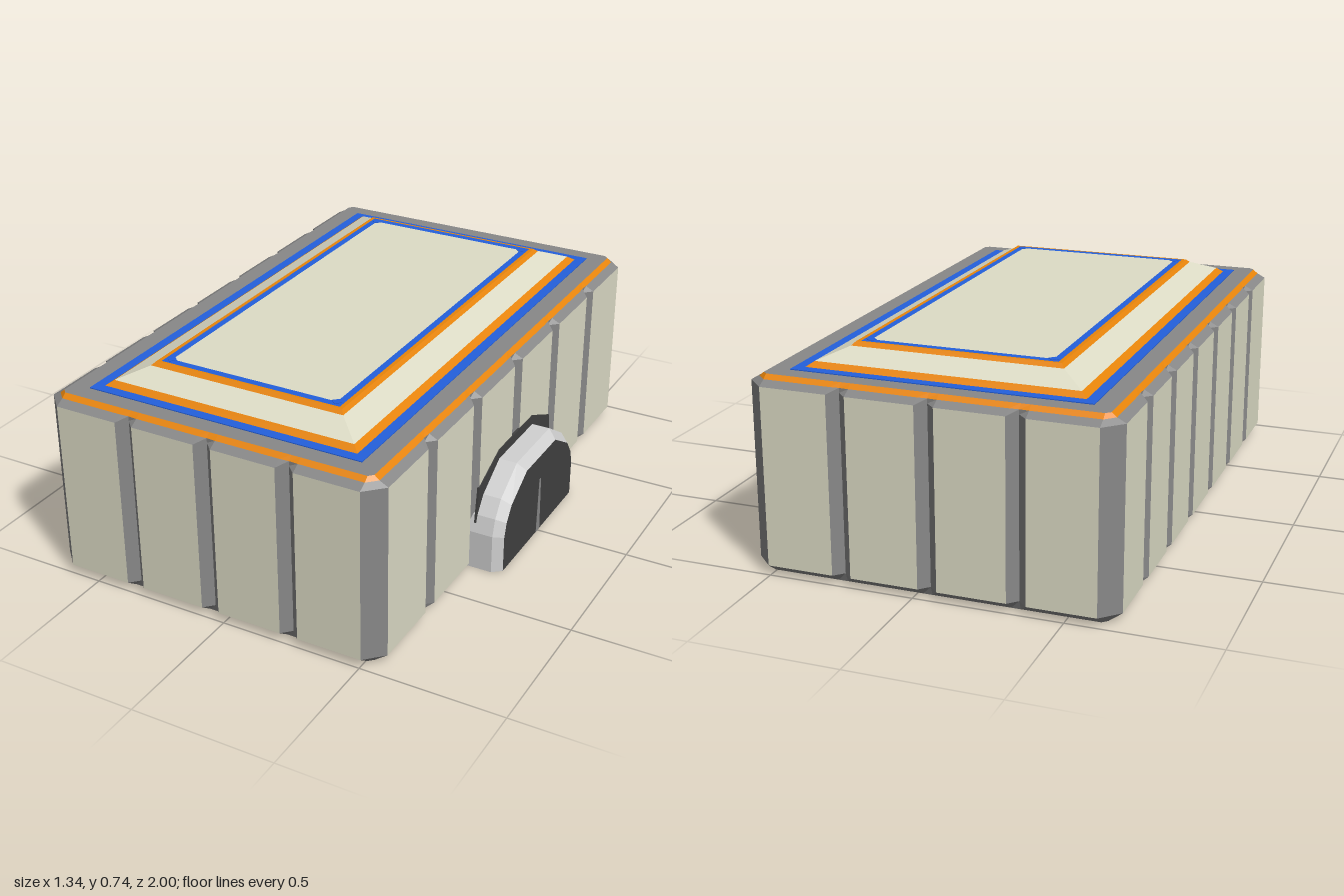
import * as THREE from 'three';

const flat = (name, color) => {
  const m = new THREE.MeshStandardMaterial({ color });
  m.name = name;
  return m;
};

// Closed band of flat quads between two loops of equal length; pick(i) chooses which segments to keep
function strip(a, b, pick = () => true) {
  const pos = [];
  for (let i = 0; i < a.length; i++) {
    if (!pick(i)) continue;
    const j = (i + 1) % a.length;
    for (const p of [a[i], a[j], b[j], a[i], b[j], b[i]]) pos.push(...p);
  }
  const g = new THREE.BufferGeometry();
  g.setAttribute('position', new THREE.Float32BufferAttribute(pos, 3));
  g.computeVertexNormals();
  return g;
}

export function createModel() {
  const model = new THREE.Group();
  const cream = flat('cream', 0xdddcc6);
  const grey = flat('grey', 0x888888);
  const dark = flat('darkGrey', 0x404040);
  const light = flat('lightGrey', 0xd0d0d0);
  const orange = flat('orange', 0xf08a0c);
  const blue = flat('blue', 0x2460dc);

  const add = (name, geometry, material, parent = model) => {
    const mesh = new THREE.Mesh(geometry, material);
    mesh.name = name;
    parent.add(mesh);
    return mesh;
  };

  // Container, centred a little to the right to leave room for the door
  const body = new THREE.Group();
  body.name = 'container';
  body.position.x = -0.05;
  model.add(body);

  const W = 0.617, L = 1, corner = 0.062, notch = 0.032;
  const outline = [], isPanel = [];
  const ends = [-0.295, 0, 0.295];
  const sides = [
    { n: [0, 1], d: [1, 0], half: W, dist: L, cuts: ends },
    { n: [1, 0], d: [0, -1], half: L, dist: W, cuts: [-0.647, -0.323, 0, 0.323, 0.647] },
    { n: [0, -1], d: [-1, 0], half: W, dist: L, cuts: ends },
    { n: [-1, 0], d: [0, 1], half: L, dist: W, cuts: [-0.69, -0.415, -0.14, 0.14, 0.415, 0.69] },
  ];
  for (const { n, d, half, dist, cuts } of sides) {
    const put = (s, depth, panel) => {
      const r = dist - depth;
      outline.push([n[0] * r + d[0] * s, n[1] * r + d[1] * s]);
      isPanel.push(panel);
    };
    put(corner - half, 0, true);
    for (const c of cuts) {
      put(c - notch, 0, false);
      put(c, notch, false);
      put(c + notch, 0, true);
    }
    put(half - corner, 0, false);
  }
  const ring = (y, inset) => outline.map(([x, z]) => [
    THREE.MathUtils.clamp(x, inset - W, W - inset), y,
    THREE.MathUtils.clamp(z, inset - L, L - inset)]);
  const centre = (y) => outline.map(() => [0, y, 0]);

  const low = ring(0.033, 0), high = ring(0.637, 0);
  add('underside', strip(centre(0), ring(0, 0.045)), grey, body);
  add('bottomBevel', strip(ring(0, 0.045), low), grey, body);
  add('wallPanels', strip(low, high, (i) => isPanel[i]), cream, body);
  add('wallGroovesAndCorners', strip(low, high, (i) => !isPanel[i]), grey, body);
  add('topBevel', strip(high, ring(0.653, 0.03)), grey, body);
  add('topEdgeTrim', strip(ring(0.653, 0.03), ring(0.667, 0.047)), orange, body);
  add('roof', strip(ring(0.667, 0.047), centre(0.667)), grey, body);

  // Raised lid and painted frames, each a run of rectangles [half x, half z, y]
  const rect = ([x, z, y]) => [[-x, y, z], [x, y, z], [x, y, -z], [-x, y, -z]];
  const loft = (name, material, ...profile) => {
    for (let i = 1; i < profile.length; i++)
      add(name, strip(rect(profile[i - 1]), rect(profile[i])), material, body);
  };
  loft('outerStripe', blue, [0.503, 0.892, 0.667], [0.503, 0.892, 0.67], [0.466, 0.857, 0.67], [0.466, 0.857, 0.667]);
  loft('lidBaseTrim', orange, [0.472, 0.86, 0.667], [0.445, 0.835, 0.686]);
  loft('lidSlope', cream, [0.445, 0.835, 0.686], [0.359, 0.75, 0.722]);
  loft('lidTopTrim', orange, [0.359, 0.75, 0.722], [0.347, 0.735, 0.734], [0.333, 0.726, 0.734]);
  loft('innerStripe', blue, [0.333, 0.726, 0.734], [0.309, 0.7, 0.734]);
  loft('lidTop', cream, [0.309, 0.7, 0.734], [0, 0, 0.734]);
  // Small chamfers in the inner corners of the inner stripe
  for (const sx of [-1, 1]) for (const sz of [-1, 1]) {
    const c = add('stripeCorner', new THREE.CylinderGeometry(0.018, 0.018, 0.003, 4), blue, body);
    c.position.set(sx * 0.309, 0.734, sz * 0.7);
  }

  // Door on the +x side: half outline [z, y] mirrored into an arch
  const mirror = (half) => [...half.map(([z, y]) => [-z, y]), ...half.slice().reverse()];
  const arch = mirror([[0.322, 0], [0.322, 0.14], [0.304, 0.2], [0.262, 0.258], [0.14, 0.335]]);
  const face = mirror([[0.295, 0], [0.295, 0.132], [0.28, 0.182], [0.244, 0.233], [0.124, 0.305]]);
  const at = (pts, x) => pts.map(([z, y]) => [x, y, z]);
  const last = arch.length - 1;
  const door = new THREE.Group();
  door.name = 'door';
  model.add(door);
  add('doorRim', strip(at(arch, 0.52), at(arch, 0.635), (i) => i < last), light, door);
  add('doorBevel', strip(at(arch, 0.635), at(face, 0.667), (i) => i < last), light, door);
  add('doorSill', strip(at(arch, 0.52), at(arch, 0.635), (i) => i === last), dark, door);
  add('doorSillFront', strip(at(arch, 0.635), at(face, 0.667), (i) => i === last), dark, door);
  add('doorPanel', strip(at(face, 0.667), face.map(() => [0.667, 0.12, 0])), dark, door);

  // Thin plates lying on the wall and on the door
  const plate = (name, pts, x, depth, material) => {
    const shape = new THREE.Shape(pts.map(([z, y]) => new THREE.Vector2(-z, y)));
    const mesh = add(name, new THREE.ExtrudeGeometry(shape, { depth, bevelEnabled: false }), material, door);
    mesh.rotation.y = Math.PI / 2;
    mesh.position.x = x;
  };
  plate('doorSurround', mirror([[0.318, 0.13], [0.296, 0.3], [0.14, 0.37]]), 0.562, 0.008, dark);
  plate('doorSeam', mirror([[0.015, 0], [0.006, 0.21]]), 0.666, 0.002, grey);

  return model;
}
